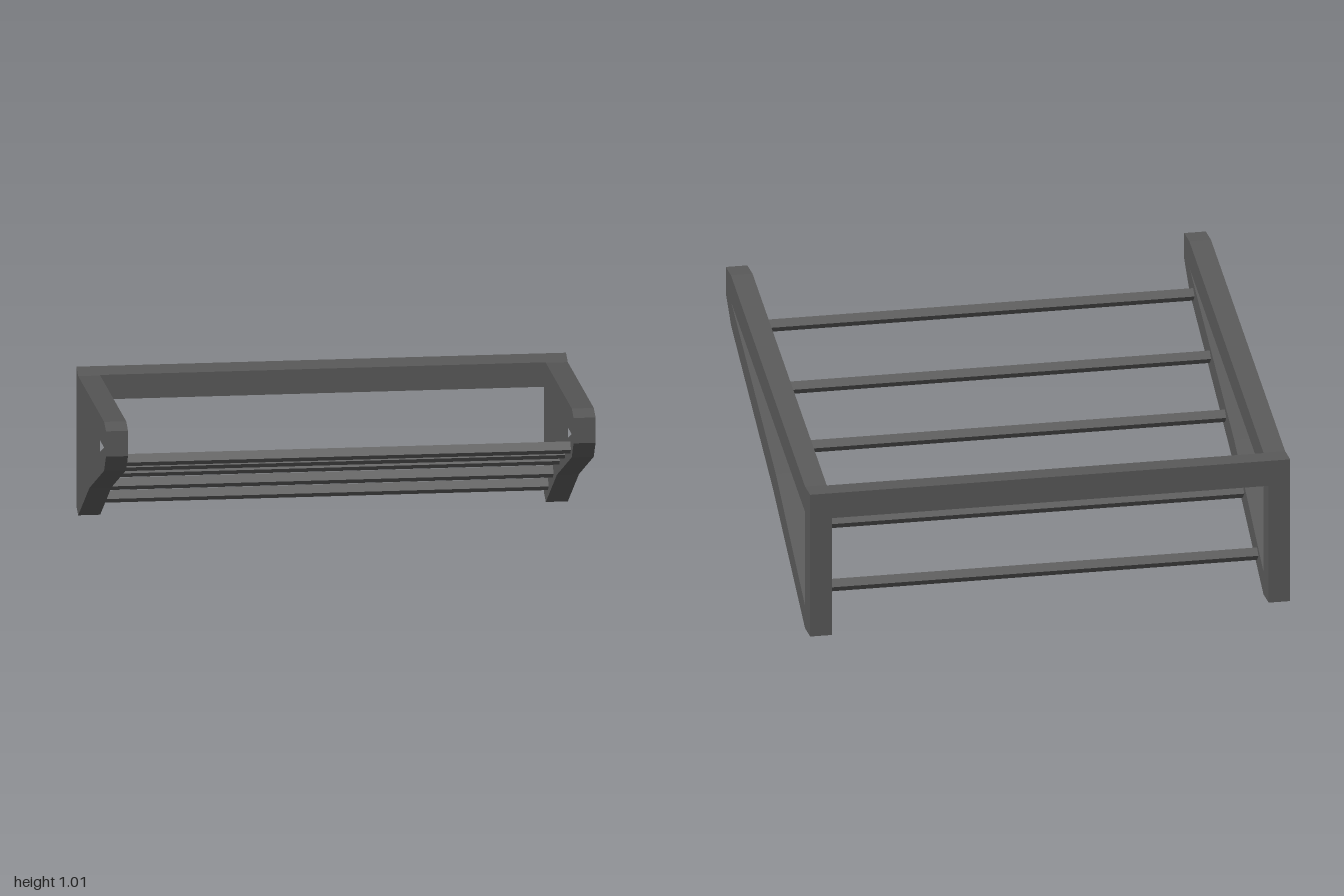
import * as THREE from 'three';

export function createModel() {
  const model = new THREE.Group();
  model.name = 'rack';
  const darkGrey = new THREE.MeshStandardMaterial({ color: 0x595959, flatShading: true });
  darkGrey.name = 'dark grey';

  const thickness = 0.09;
  const inner = 1 - thickness;
  const points = (list) => list.map(([z, y]) => new THREE.Vector2(-z, y));

  // Side frame profile as [z, y], with one triangular opening
  const profile = new THREE.Shape(points([
    [0.82, 1.015], [0.82, 0.903], [0.715, 0.797], [-0.1, 0.38], [-0.72, 0],
    [-0.82, 0], [-0.82, 0.615], [-0.72, 0.615], [0.72, 1.015],
  ]));
  profile.holes.push(new THREE.Path(points([
    [0.715, 0.9], [-0.72, 0.505], [-0.72, 0.098], [-0.153, 0.465],
  ])));
  const sideGeometry = new THREE.ExtrudeGeometry(profile, { depth: thickness, bevelEnabled: false });
  sideGeometry.rotateY(Math.PI / 2); // shape x becomes -z, depth becomes +x

  for (const [name, x] of [['leftSideFrame', inner], ['rightSideFrame', -1]]) {
    const side = new THREE.Mesh(sideGeometry, darkGrey);
    side.name = name;
    side.position.x = x;
    model.add(side);
  }

  // Rear crossbar joining the side frames
  const bar = new THREE.Mesh(new THREE.BoxGeometry(2 * inner, 0.108, 0.095), darkGrey);
  bar.name = 'rearCrossbar';
  bar.position.set(0, 0.561, -0.7725);
  model.add(bar);

  // Thin diamond-section rungs between the lower beams, as [z, y]
  const rungGeometry = new THREE.CylinderGeometry(0.027, 0.027, 2 * inner, 4);
  rungGeometry.rotateZ(Math.PI / 2);
  const rungs = [[-0.595, 0.132], [-0.32, 0.303], [0.03, 0.506], [0.325, 0.656], [0.645, 0.812]];
  rungs.forEach(([z, y], i) => {
    const rung = new THREE.Mesh(rungGeometry, darkGrey);
    rung.name = `rung${i + 1}`;
    rung.position.set(0, y, z);
    model.add(rung);
  });

  return model;
}
